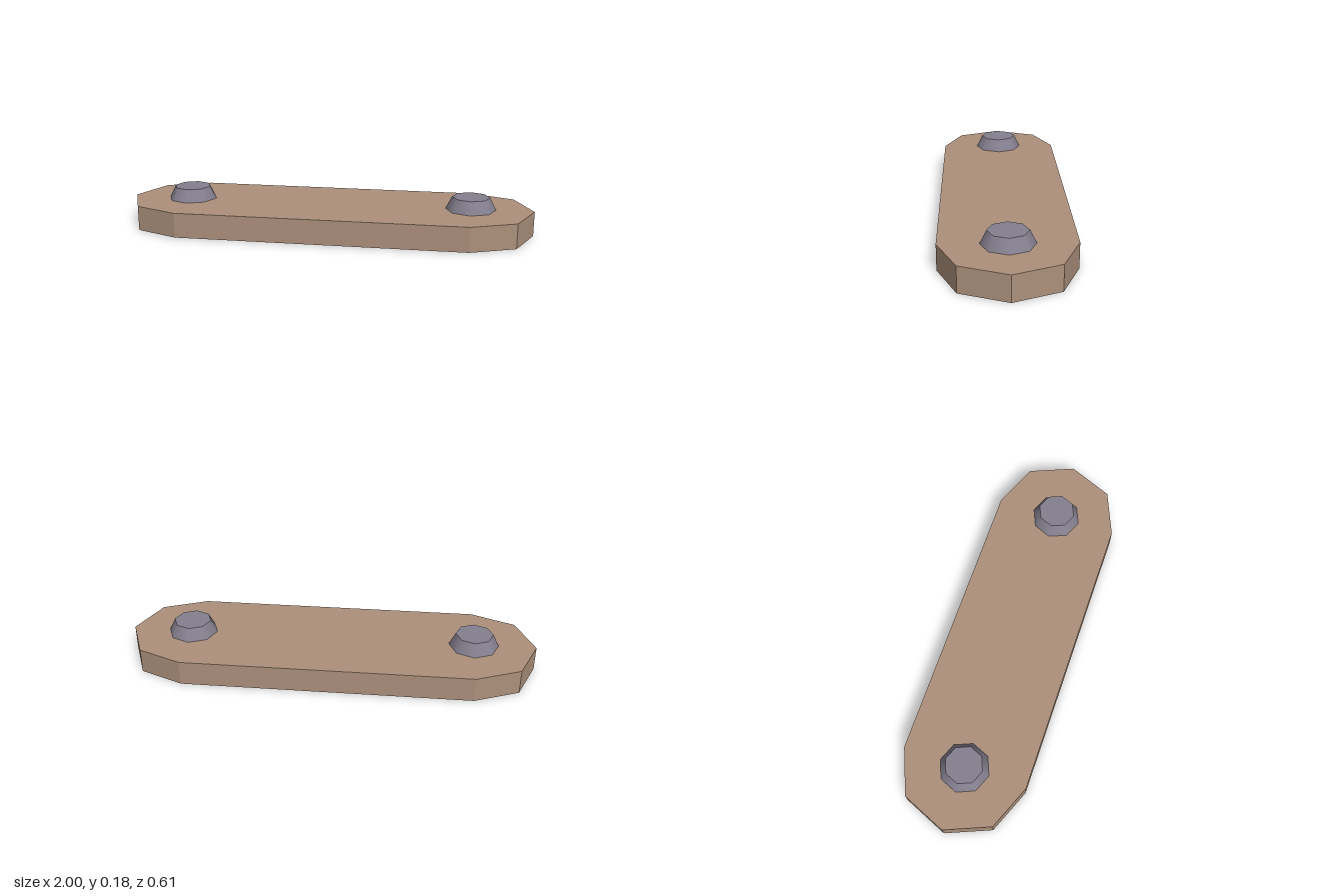
import * as THREE from 'three';

const END_X = 0.697;      // centre of each rounded end
const RADIUS = 0.303;     // half width of the plate
const THICKNESS = 0.121;
const STUD_HEIGHT = 0.061;

export function createModel() {
  const model = new THREE.Group();
  const tan = new THREE.MeshStandardMaterial({ color: 0xac907b });
  tan.name = 'tan plate';
  const grey = new THREE.MeshStandardMaterial({ color: 0x85808f });
  grey.name = 'grey stud';

  // Plate: a slot outline whose ends are half octagons
  const outline = [];
  for (const side of [1, -1]) {
    for (let i = 0; i <= 4; i++) {
      const a = -Math.PI / 2 + i * Math.PI / 4;
      outline.push(new THREE.Vector2(
        side * (END_X + RADIUS * Math.cos(a)),
        side * RADIUS * Math.sin(a)));
    }
  }
  const plateGeometry = new THREE.ExtrudeGeometry(new THREE.Shape(outline), {
    depth: THICKNESS, bevelEnabled: false,
  });
  plateGeometry.rotateX(-Math.PI / 2);
  const plate = new THREE.Mesh(plateGeometry, tan);
  plate.name = 'plate';
  model.add(plate);

  // Studs: tapered eight-sided bolts, one at each end
  const studGeometry = new THREE.CylinderGeometry(0.091, 0.121, STUD_HEIGHT, 8);
  for (const side of [1, -1]) {
    const stud = new THREE.Mesh(studGeometry, grey);
    stud.name = side > 0 ? 'leftStud' : 'rightStud';
    stud.position.set(side * END_X, THICKNESS + STUD_HEIGHT / 2, 0);
    model.add(stud);
  }
  return model;
}
